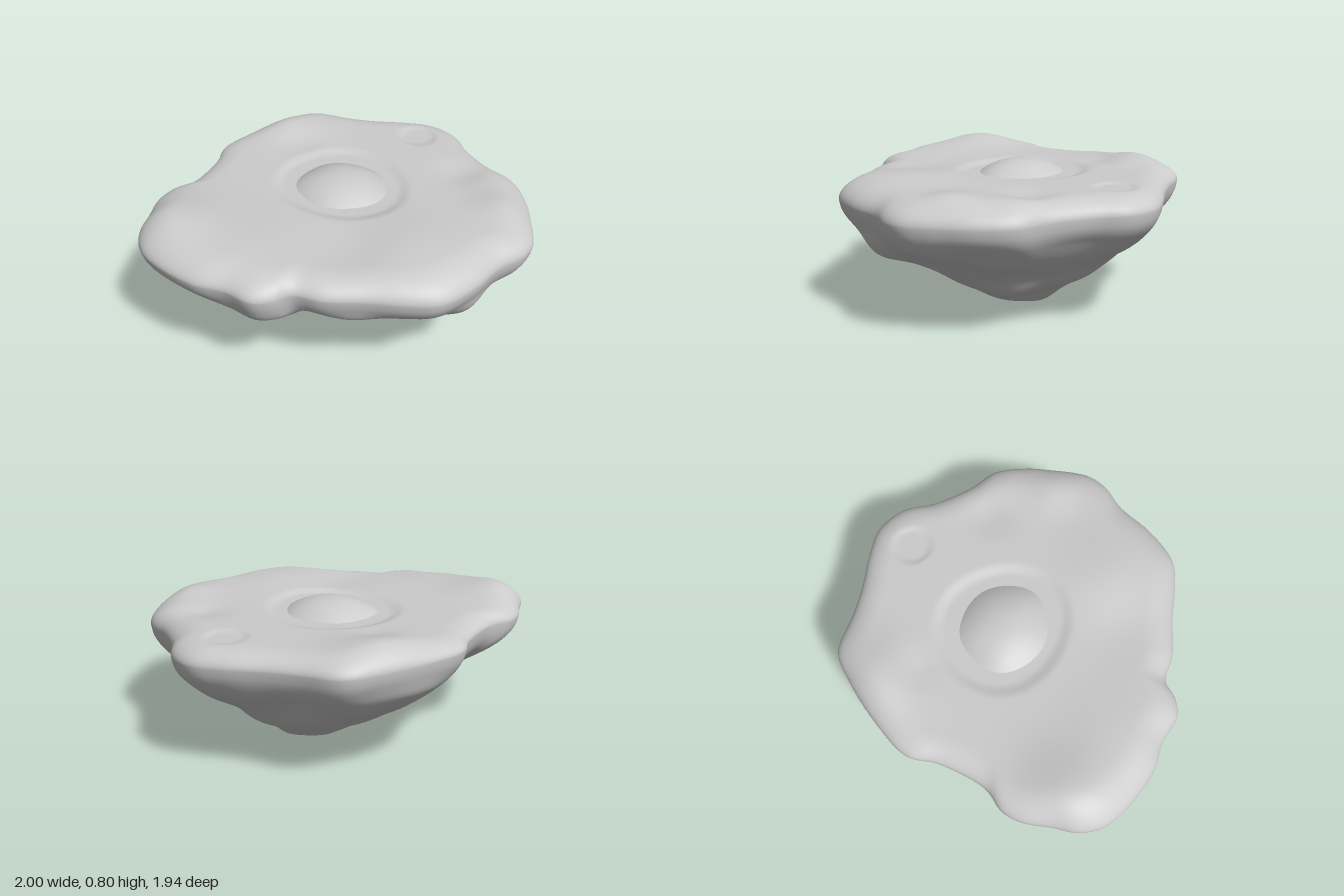
import * as THREE from 'three';

const V2 = (p) => new THREE.Vector2(p[0], p[1]);
const stone = new THREE.MeshStandardMaterial({ color: 0xcccccc, roughness: 0.9 });

// Plan outline of the rim as [x, z], counter-clockwise seen from above
const outline = [
  [1, 0], [0.985, -0.1], [0.955, -0.2], [0.9, -0.36], [0.8, -0.52], [0.64, -0.61], [0.46, -0.76],
  [0.35, -0.9], [0.19, -0.97], [0.03, -0.95], [-0.18, -0.89], [-0.34, -0.86], [-0.57, -0.83],
  [-0.69, -0.7], [-0.83, -0.48], [-0.93, -0.24], [-0.9, -0.08], [-0.92, 0.2], [-0.99, 0.32],
  [-1, 0.43], [-0.96, 0.59], [-0.93, 0.72], [-0.83, 0.84], [-0.5, 0.95], [-0.32, 0.94],
  [-0.17, 0.965], [-0.08, 0.92], [-0.01, 0.84], [0.14, 0.825], [0.35, 0.75], [0.56, 0.69],
  [0.68, 0.63], [0.8, 0.45], [0.88, 0.24], [0.97, 0.11],
];

// Underside profile: [fraction of the way out to the rim, height]
const profile = [
  [0, 0.02], [0.1, 0.012], [0.2, 0.03], [0.3, 0.085], [0.4, 0.145], [0.5, 0.195],
  [0.6, 0.265], [0.72, 0.345], [0.85, 0.435], [0.94, 0.51], [0.985, 0.575], [1, 0.635],
];

// Swellings of the underside: [x, y, z, radius, push]
const swellings = [
  [-0.42, 0.32, 0.6, 0.14, 0.07], [0.7, 0.42, 0.3, 0.14, 0.06], [0.62, 0.38, -0.05, 0.1, 0.04],
  [0.4, 0.18, -0.3, 0.12, 0.03], [0.25, 0.52, 0.72, 0.14, 0.03], [-0.25, 0.57, 0.85, 0.17, 0.04],
  [-0.6, 0.35, -0.3, 0.2, 0.03], [-0.25, 0.3, -0.55, 0.16, 0.03], [0.1, 0.45, 0.65, 0.14, -0.03],
  [-0.75, 0.45, 0.1, 0.16, -0.03], [-0.78, 0.48, -0.38, 0.2, 0.03], [-0.5, 0.42, -0.62, 0.2, 0.03],
];

// Gentle hills and dips of the top: [x, z, radius, height]
const hills = [
  [-0.8, 0.62, 0.25, 0.065], [-0.62, -0.55, 0.22, 0.045], [0.45, 0.35, 0.28, 0.03],
  [0.77, -0.15, 0.14, 0.025], [-0.4, 0.72, 0.28, 0.025], [0.5, -0.42, 0.13, -0.02],
  [0.65, -0.4, 0.12, 0.01], [-0.5, -0.38, 0.12, -0.015], [0.15, 0.5, 0.2, -0.015],
];

const bell = (d2, r) => Math.exp(-d2 / (r * r));
const MOUND = { x: -0.1, z: -0.06 };
const PIT = { x: 0.14, z: -0.73 };

function topHeight(x, z) {
  let y = 0.722 - 0.012 * x;
  for (const [hx, hz, r, h] of hills) y += h * bell((x - hx) ** 2 + (z - hz) ** 2, r);
  // Shallow basin around the mound
  const dx = x - MOUND.x, dz = z - MOUND.z + 0.01;
  const a = Math.atan2(dz, dx);
  const edge = 0.36 + 0.015 * Math.sin(2 * a + 1) + 0.01 * Math.sin(3 * a);
  y -= 0.016 * (1 - THREE.MathUtils.smoothstep(Math.hypot(dx, dz), edge - 0.05, edge + 0.03));
  // Small round pit near the back edge
  y -= 0.01 * (1 - THREE.MathUtils.smoothstep(Math.hypot(x - PIT.x, z - PIT.z), 0.09, 0.12));
  return y;
}

// One closed skin: rings from the bottom, round the rim, to the middle of the top
function rockGeometry() {
  const SEG = 200, LOW = 56, ROUND = 14, TOP = 60, INNER = 0.82;
  const rimCurve = new THREE.CatmullRomCurve3(
    outline.map(([x, z]) => new THREE.Vector3(x, 0, z)), true, 'centripetal');
  const rim = rimCurve.getSpacedPoints(SEG).slice(0, SEG);
  // Softened outline, so notches of the rim fade out below it
  const WINDOW = 12;
  const soft = rim.map((_, i) => {
    const sum = new THREE.Vector3();
    for (let k = -WINDOW; k <= WINDOW; k++) sum.add(rim[(i + k + SEG) % SEG]);
    return sum.multiplyScalar(1.02 / (2 * WINDOW + 1));
  });
  const side = new THREE.SplineCurve(profile.map(V2)).getSpacedPoints(LOW);
  const pos = [], index = [];

  for (const { x: f, y: h } of side) {
    rim.forEach((r, i) => {
      const p = soft[i].clone().lerp(r, THREE.MathUtils.smoothstep(f, 0.65, 1));
      let x = p.x * f, z = -0.14 + (p.z + 0.14) * f;
      let y = h - 0.035 * r.x * f;
      // Push swellings and a soft ripple outwards, fading at the rim and base
      let push = 0.01 * Math.sin(7 * x + 9 * y) * Math.sin(8 * z - 6 * y + 1);
      for (const [sx, sy, sz, size, k] of swellings)
        push += k * bell((x - sx) ** 2 + (y - sy) ** 2 + (z - sz) ** 2, size);
      push *= THREE.MathUtils.smoothstep(f, 0.05, 0.4) * (1 - THREE.MathUtils.smoothstep(f, 0.92, 1));
      const len = Math.hypot(x, z + 0.14) || 1;
      x += (x / len) * push * 0.7;
      z += ((z + 0.14) / len) * push * 0.7;
      y -= push * 0.7;
      // Two low feet under the base
      y -= 0.02 * bell((x + 0.08) ** 2 + (z + 0.02) ** 2, 0.1);
      y -= 0.015 * bell((x - 0.08) ** 2 + (z + 0.28) ** 2, 0.1);
      pos.push(x, Math.max(0, y), z);
    });
  }
  for (let j = 1; j <= ROUND + TOP; j++) {
    const t = Math.min(j / ROUND, 1) * Math.PI / 2;
    const f = j <= ROUND ? INNER + (1 - INNER) * Math.cos(t) : INNER * (1 - (j - ROUND) / TOP);
    for (const p of rim) {
      const x = MOUND.x + (p.x - MOUND.x) * f, z = MOUND.z + (p.z - MOUND.z) * f;
      pos.push(x, THREE.MathUtils.lerp(0.635 - 0.035 * p.x, topHeight(x, z), Math.sin(t)), z);
    }
  }
  const rows = pos.length / 3 / SEG;
  for (let r = 0; r < rows - 1; r++) {
    for (let i = 0; i < SEG; i++) {
      const a = r * SEG + i, b = r * SEG + (i + 1) % SEG;
      if (r > 0) index.push(a, b, a + SEG);
      if (r < rows - 2) index.push(b, b + SEG, a + SEG);
    }
  }
  const g = new THREE.BufferGeometry();
  g.setAttribute('position', new THREE.Float32BufferAttribute(pos, 3));
  g.setIndex(index);
  g.computeVertexNormals();
  return g;
}

// Low rounded mound with a slightly uneven outline
function moundGeometry() {
  const arc = [];
  for (let i = 20; i >= 0; i--) arc.push(new THREE.Vector2(i / 20, 0.09 * (1 - (i / 20) ** 2.2)));
  const g = new THREE.LatheGeometry(arc, 64);
  const p = g.attributes.position;
  for (let i = 0; i < p.count; i++) {
    const a = Math.atan2(p.getZ(i), p.getX(i));
    const r = 0.28 + 0.005 * Math.sin(3 * a + 0.5) + 0.004 * Math.sin(5 * a);
    p.setX(i, p.getX(i) * r);
    p.setZ(i, p.getZ(i) * r * 0.92);
  }
  g.computeVertexNormals();
  return g;
}

export function createModel() {
  const model = new THREE.Group();
  model.name = 'floatingRock';

  const rock = new THREE.Mesh(rockGeometry(), stone);
  rock.name = 'rock';

  const mound = new THREE.Mesh(moundGeometry(), stone);
  mound.name = 'centralMound';
  mound.position.set(MOUND.x, 0.69, MOUND.z);

  model.add(rock, mound);
  return model;
}
